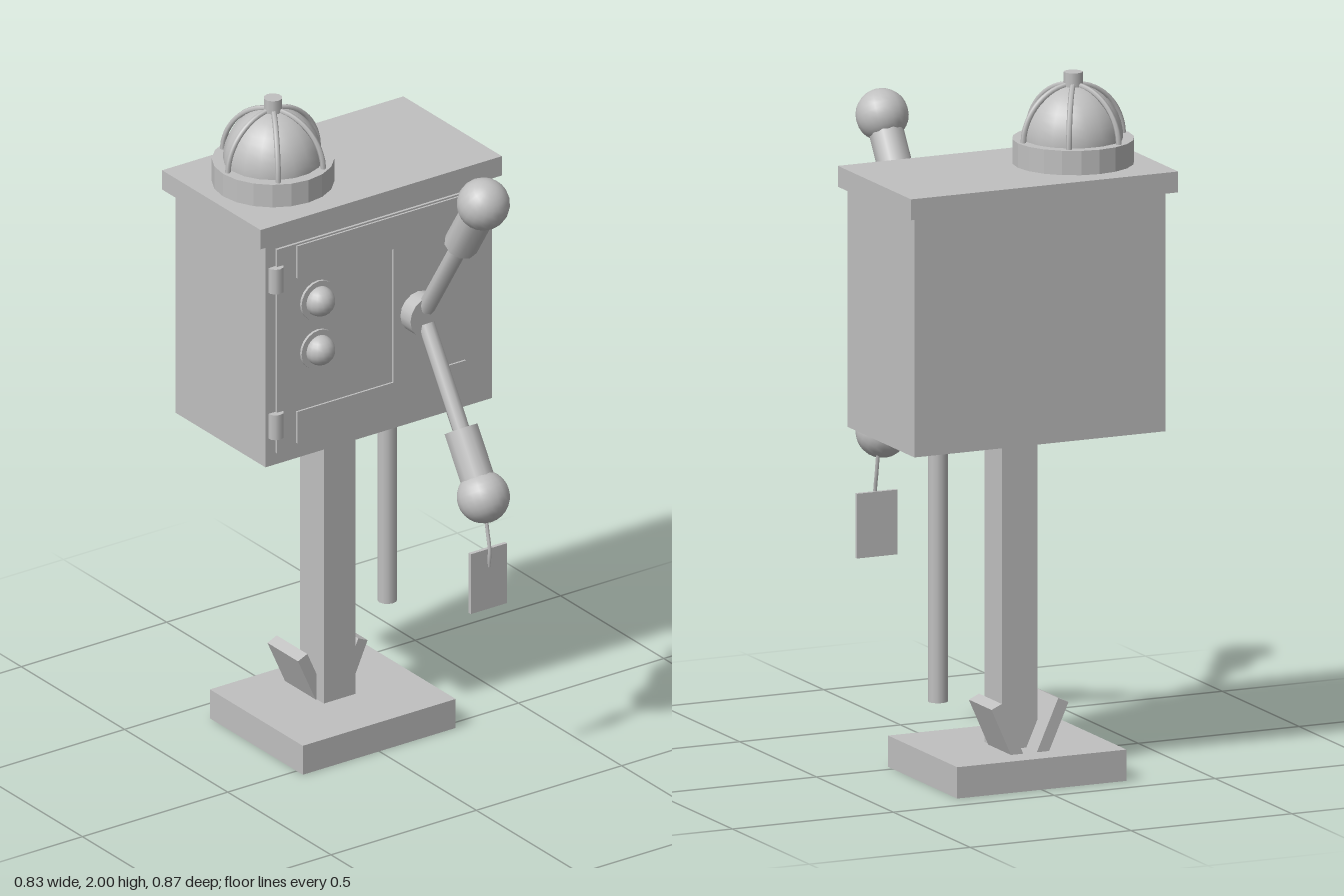
import * as THREE from 'three';

export function createModel() {
  const model = new THREE.Group();
  const grey = new THREE.MeshStandardMaterial({ color: 0xc0c0c0 });
  grey.name = 'grey metal';

  function add(name, geo, x = 0, y = 0, z = 0, parent = model) {
    const mesh = new THREE.Mesh(geo, grey);
    mesh.name = name;
    mesh.position.set(x, y, z);
    parent.add(mesh);
    return mesh;
  }
  // box given by its minimum and maximum corners
  function box(name, [x0, y0, z0], [x1, y1, z1]) {
    return add(name, new THREE.BoxGeometry(x1 - x0, y1 - y0, z1 - z0),
      (x0 + x1) / 2, (y0 + y1) / 2, (z0 + z1) / 2);
  }
  const cyl = (r, h, sides) => new THREE.CylinderGeometry(r, r, h, sides);
  const faceted = (r, h, sides) => {
    const g = cyl(r, h, sides).toNonIndexed();
    g.computeVertexNormals();
    return g;
  };

  // foot, post and slanted braces
  box('base', [-0.263, 0, -0.42], [0.263, 0.09, 0.03]);
  box('post', [-0.056, 0.09, -0.275], [0.054, 1.0, -0.16]);
  for (const s of [-1, 1]) {
    add('brace', new THREE.BoxGeometry(0.035, 0.18, 0.148), s * 0.067, 0.15, -0.269)
      .rotation.z = -s * 0.42;
  }
  add('conduit', cyl(0.028, 0.74, 12), 0.274, 0.63, -0.317);

  // cabinet with lid
  box('cabinet', [-0.39, 0.99, -0.407], [0.39, 1.69, 0.028]);
  box('lid', [-0.416, 1.68, -0.436], [0.414, 1.74, 0.041]);

  // door with a raised I-shaped plate
  box('door', [-0.356, 1.027, 0.02], [0.356, 1.66, 0.036]);
  const plate = new THREE.Shape([
    [-0.29, 1.042], [0.29, 1.042], [0.29, 1.14], [0.21, 1.14], [0.21, 1.555], [0.29, 1.555],
    [0.29, 1.655], [-0.29, 1.655], [-0.29, 1.555], [0.04, 1.555], [0.04, 1.14], [-0.29, 1.14],
  ].map(([x, y]) => new THREE.Vector2(x, y)));
  add('doorPlate', new THREE.ExtrudeGeometry(plate, { depth: 0.008, bevelEnabled: false }), 0, 0, 0.034);
  for (const y of [1.115, 1.568]) add('hinge', cyl(0.023, 0.077, 10), -0.357, y, 0.03);

  // indicator lamps
  for (const y of [1.315, 1.467]) {
    add('lampRing', cyl(0.06, 0.02, 20), -0.217, y, 0.034).rotation.x = Math.PI / 2;
    add('lamp', new THREE.SphereGeometry(0.044, 16, 12), -0.217, y, 0.047);
  }

  // hub with two lever arms, mirrored up and down
  const hub = add('hub', cyl(0.061, 0.07, 16), 0.125, 1.34, 0.056);
  hub.rotation.x = Math.PI / 2;
  for (const s of [1, -1]) {
    const arm = new THREE.Group();
    arm.name = s > 0 ? 'upperArm' : 'lowerArm';
    arm.position.set(0.125, 1.34 + s * 0.455, 0.358);
    // local +y points from the hub to the ball
    arm.quaternion.setFromUnitVectors(new THREE.Vector3(0, 1, 0), new THREE.Vector3(0, s * 0.84, 0.54).normalize());
    add('rod', cyl(0.025, 0.41, 8), 0, -0.305, 0, arm);
    add('grip', cyl(0.05, 0.2, 10), 0, -0.1, 0, arm);
    add('ball', new THREE.SphereGeometry(0.075, 20, 14), 0, 0, 0, arm);
    model.add(arm);
  }

  // hanging tag on a string
  const string = new THREE.CatmullRomCurve3([
    [0.15, 0.83, 0.332], [0.15, 0.77, 0.342], [0.148, 0.71, 0.356], [0.147, 0.66, 0.352],
  ].map((p) => new THREE.Vector3(...p)));
  add('string', new THREE.TubeGeometry(string, 12, 0.006, 6));
  box('tag', [0.084, 0.53, 0.344], [0.209, 0.716, 0.355]);

  // caged dome lamp
  const beacon = new THREE.Group();
  beacon.name = 'beacon';
  beacon.position.set(-0.203, 1.74, -0.199);
  model.add(beacon);
  add('rim', faceted(0.172, 0.07, 20), 0, 0.035, 0, beacon);
  const dome = new THREE.SphereGeometry(0.141, 18, 10, 0, Math.PI * 2, 0, Math.PI / 2);
  add('dome', dome, 0, 0.07, 0, beacon).scale.y = 1.08;
  const wire = new THREE.CatmullRomCurve3(Array.from({ length: 7 }, (_, i) => {
    const a = (i / 6) * 1.45;
    return new THREE.Vector3(0.156 * Math.cos(a), 0.06 + 0.165 * Math.sin(a), 0);
  }));
  const wireGeo = new THREE.TubeGeometry(wire, 14, 0.008, 6);
  for (let i = 0; i < 6; i++) add('cageWire', wireGeo, 0, 0, 0, beacon).rotation.y = (i * Math.PI) / 3;
  add('finial', cyl(0.027, 0.045, 10), 0, 0.2375, 0, beacon);

  return model;
}
